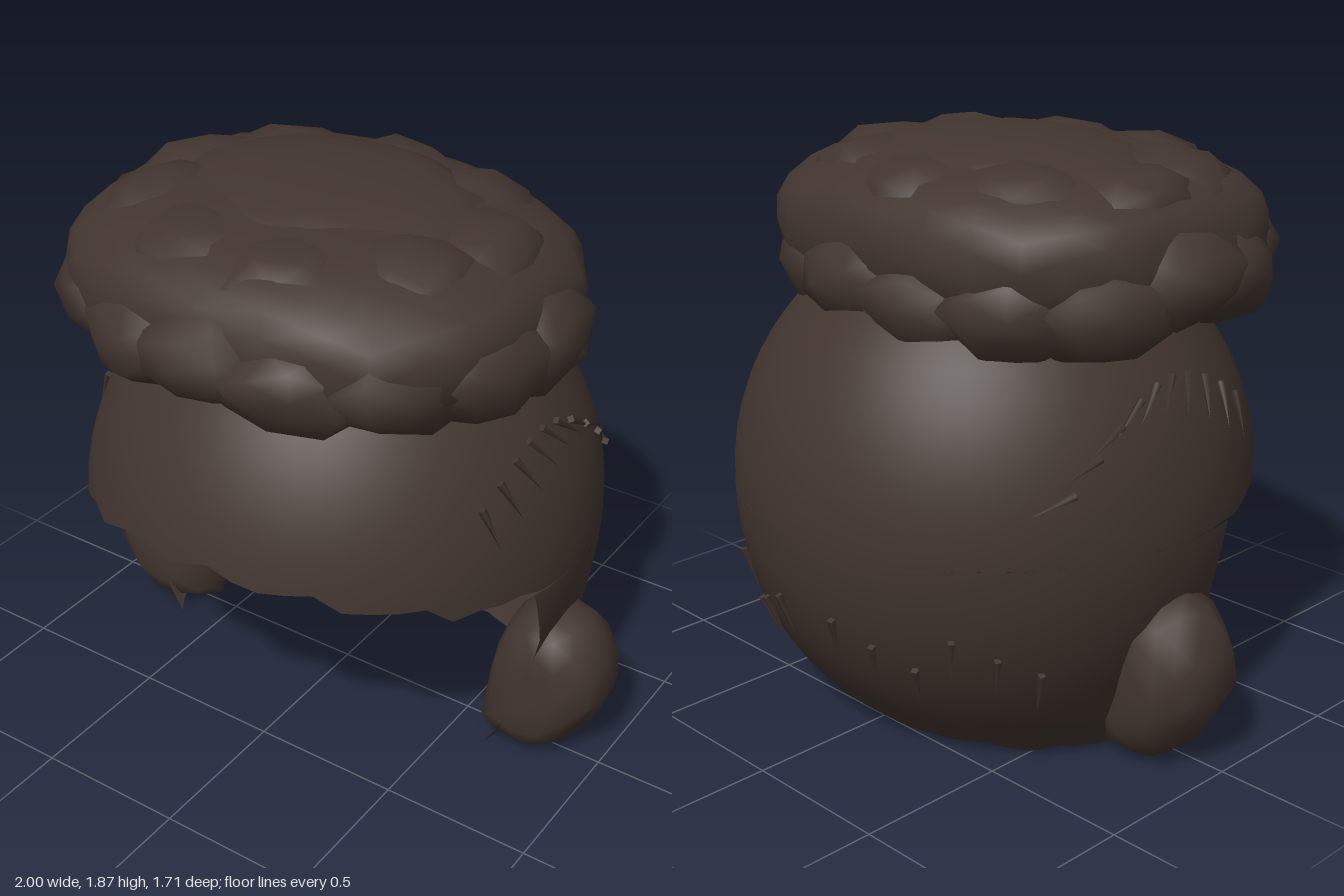
import * as THREE from 'three';
import { mergeVertices } from 'three/addons/utils/BufferGeometryUtils.js';

const hair = new THREE.MeshStandardMaterial({ color: 0x42352f, roughness: 0.9, side: THREE.DoubleSide });

function seeded(seed) {
  let s = seed;
  return () => (s = (s * 16807) % 2147483647) / 2147483647;
}

// Point on the rounded head shell at angle a (0 = front, PI/2 = +x) and height y
function shell(a, y, grow = 0) {
  const d = y - 0.76;
  const round = (h) => 0.85 * Math.sqrt(Math.max(0, 1 - (d / h) ** 2)) + grow;
  const rx = round(d > 0 ? 0.84 : 1.2);
  const rz = round(d > 0 ? 0.84 : 0.94);
  const c = Math.cos(a);
  return new THREE.Vector3(Math.sin(a) * rx, y, c * (c > 0 ? rz + 0.02 : rz));
}

// Grid surface from a point function of (u, v); normals point away from the head centre
function sheet(nu, nv, point) {
  const pos = [], nor = [], index = [];
  for (let j = 0; j <= nv; j++) {
    for (let i = 0; i <= nu; i++) {
      const p = point(i / nu, j / nv);
      pos.push(p.x, p.y, p.z);
      const n = new THREE.Vector3(p.x, (p.y - 0.76) * 0.9, p.z).normalize();
      nor.push(n.x, n.y, n.z);
      if (i < nu && j < nv) {
        const k = j * (nu + 1) + i, m = k + nu + 1;
        index.push(k, m, k + 1, k + 1, m, m + 1);
      }
    }
  }
  const g = new THREE.BufferGeometry();
  g.setAttribute('position', new THREE.Float32BufferAttribute(pos, 3));
  g.setAttribute('normal', new THREE.Float32BufferAttribute(nor, 3));
  g.setIndex(index);
  return g;
}

// Irregular rounded clump; boxy < 1 squares it off
function clump(size, detail, seed, rough, boxy = 1) {
  let g = new THREE.IcosahedronGeometry(1, detail);
  g.deleteAttribute('uv');
  g.deleteAttribute('normal');
  g = mergeVertices(g, 1e-3);
  const rnd = seeded(seed), p = g.attributes.position;
  const square = (v) => Math.sign(v) * Math.abs(v) ** boxy;
  for (let i = 0; i < p.count; i++) {
    const k = 1 + (rnd() - 0.5) * rough;
    p.setXYZ(i, square(p.getX(i)) * size[0] * k, square(p.getY(i)) * size[1] * k, square(p.getZ(i)) * size[2] * k);
  }
  g.computeVertexNormals();
  return g;
}

export function createModel() {
  const model = new THREE.Group();
  const add = (geometry, name, parent = model) => {
    const m = new THREE.Mesh(geometry, hair);
    m.name = name;
    parent.add(m);
    return m;
  };

  // Upper cap, its front edge arching into a ragged fringe
  const edge = (a) => {
    const c = Math.max(0, Math.cos(a));
    const ragged = c > 0.2 ? 0.018 * Math.sin(a * 17) + 0.012 * Math.sin(a * 31) : 0;
    return 0.73 + 0.18 * c * c + ragged;
  };
  add(sheet(64, 16, (u, v) => {
    const a = u * Math.PI * 2;
    return shell(a, 1.6 - (1.6 - edge(a)) * v ** 1.7);
  }), 'upperCap');

  // Nape and sideburns, cut off in a near vertical line ahead of the ears
  add(sheet(56, 10, (u, v) => {
    const hem = 0.02 + 0.012 * Math.sin(u * 41) + 0.008 * Math.sin(u * 67);
    const y = 0.73 + (hem - 0.73) * v;
    const cut = y > 0.5 ? 0.13 + (y - 0.5) * 0.3 : 0.14;
    const rim = shell(0, y).z;
    const a0 = Math.acos(cut / rim);
    return shell(a0 + u * (Math.PI * 2 - 2 * a0), y);
  }), 'nape');

  // Bulky lock beside each ear
  for (const s of [1, -1]) {
    const lock = clump([0.2, 0.28, 0.19], 2, 77, 0.1, 0.85);
    const p = lock.attributes.position;
    for (let i = 0; i < p.count; i++) {
      const x = p.getX(i), y = p.getY(i), z = p.getZ(i);
      const lean = 0.8 + (y < 0 ? y * 0.35 : 0);
      p.setXYZ(i, s * Math.min(1, lean + x), Math.max(0.01, 0.27 + y), Math.min(0.14, z - 0.03));
    }
    if (s < 0) {
      const ix = lock.index.array;
      for (let i = 0; i < ix.length; i += 3) [ix[i], ix[i + 1]] = [ix[i + 1], ix[i]];
    }
    lock.computeVertexNormals();
    add(lock, s > 0 ? 'leftSideLock' : 'rightSideLock');
  }

  // Thick tousled crown: a broad core with clumps around it
  const crown = new THREE.Group();
  crown.name = 'crown';
  model.add(crown);
  add(clump([0.79, 0.27, 0.66], 4, 11, 0.035, 0.78), 'crownCore', crown).position.set(-0.03, 1.57, 0.09);
  const rnd = seeded(4242);
  const rim = 15;
  for (let i = 0; i < rim; i++) {
    const a = (i / rim) * Math.PI * 2;
    const c = Math.cos(a), s = Math.sin(a);
    const m = add(clump([0.25, 0.15 + rnd() * 0.03, 0.17], 1, 100 + i * 37, 0.22), 'rimClump', crown);
    const drop = c < 0 ? 0.08 * -c : 0;
    m.position.set(-0.03 + s * 0.7, 1.5 - drop + (rnd() - 0.5) * 0.06, 0.09 + c * (c > 0 ? 0.57 : 0.54));
    m.rotation.y = a;
  }
  for (let i = 0; i < 9; i++) {
    const a = (i / 9) * Math.PI * 2 + 0.3;
    const m = add(clump([0.27, 0.13, 0.22], 1, 900 + i * 53, 0.18), 'topClump', crown);
    m.position.set(-0.04 + Math.sin(a) * 0.5, 1.7, 0.08 + Math.cos(a) * 0.38);
    m.rotation.y = a;
  }
  add(clump([0.5, 0.09, 0.4], 2, 31, 0.08), 'topClump', crown).position.set(-0.04, 1.78, 0.03);

  // Fine loose strands lying on the shell
  const strand = new THREE.ConeGeometry(0.014, 0.15, 4);
  const layStrand = (a, y, tilt) => {
    const m = add(strand, 'strand');
    const p = shell(a, y, 0.008);
    const up = shell(a, y + 0.04, 0.008).sub(p).normalize();
    const across = shell(a + 0.05, y, 0.008).sub(p).normalize();
    const dir = up.multiplyScalar(-Math.cos(tilt)).addScaledVector(across, Math.sin(tilt)).normalize();
    m.position.copy(p);
    m.quaternion.setFromUnitVectors(new THREE.Vector3(0, 1, 0), dir);
  };
  for (const s of [1, -1]) {
    for (let i = 0; i < 10; i++) {
      const t = i / 9;
      layStrand(s * (1.15 + t * 1.0), 1.02 + 0.2 * Math.sin(t * 2.6) - 0.2 * t * t, s * (0.3 + t * 0.9));
    }
    for (let i = 0; i < 6; i++) layStrand(s * (2.2 + i * 0.16), 0.3 + 0.06 * (i % 3), s * 0.12);
  }
  return model;
}
